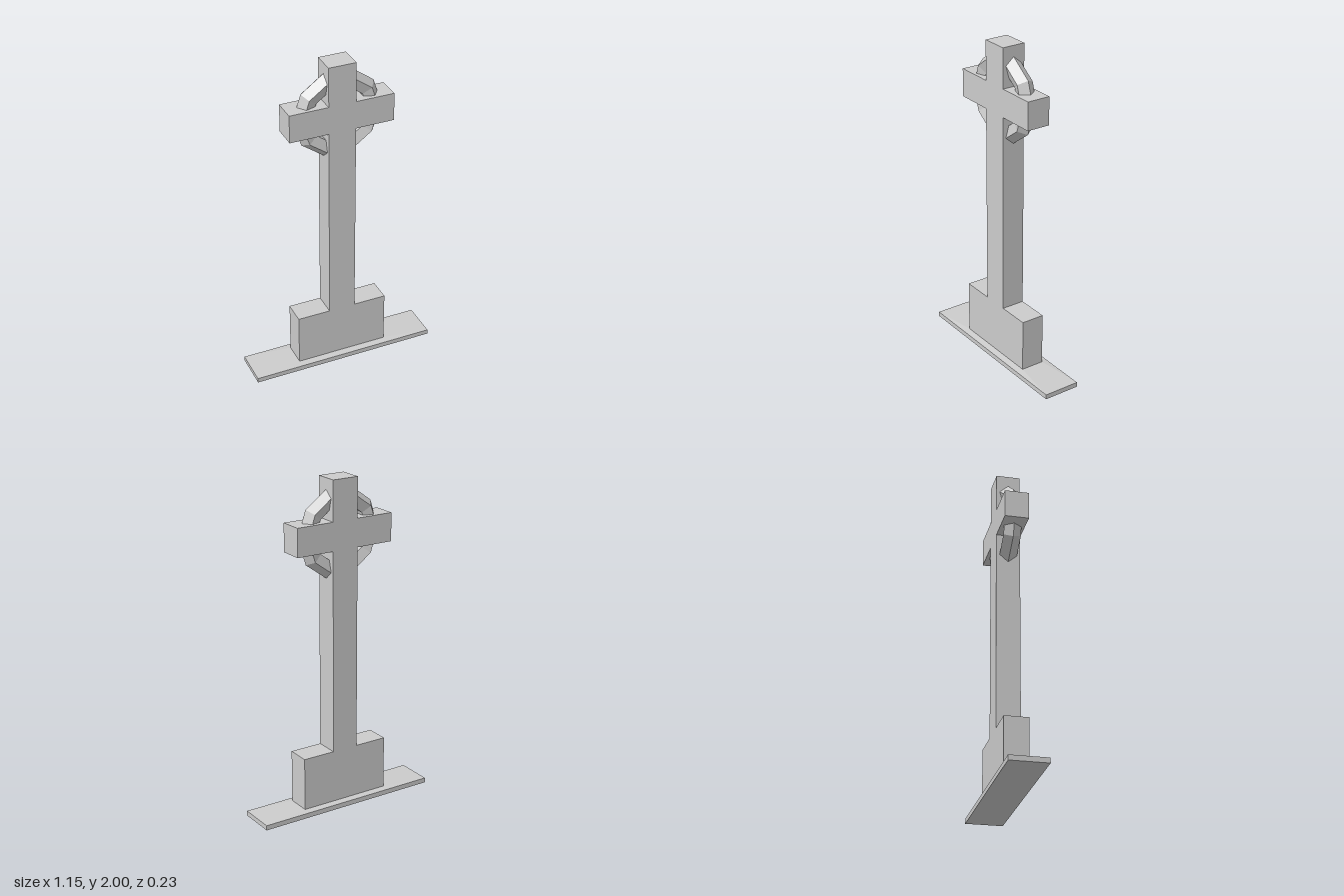
import * as THREE from 'three';

const material = new THREE.MeshStandardMaterial({ color: 0xcccccc, flatShading: true });

export function createModel() {
  const model = new THREE.Group();
  model.name = 'ringedCross';

  const add = (name, geometry, y = 0) => {
    const mesh = new THREE.Mesh(geometry, material);
    mesh.name = name;
    mesh.position.y = y;
    model.add(mesh);
    return mesh;
  };

  const depth = 0.144;
  const slabX = 1.15, slabZ = 0.226, slabTop = 0.03, crown = 0.036;
  const blockX = 0.57, blockTop = 0.36;

  // Flat slab on the ground
  add('groundSlab', new THREE.BoxGeometry(slabX, slabTop, slabZ), slabTop / 2);

  // Very shallow slope rising from the slab's edges to the pedestal
  const slope = new THREE.BoxGeometry(slabX, crown - slabTop, slabZ);
  const p = slope.attributes.position;
  for (let i = 0; i < p.count; i++) {
    if (p.getY(i) > 0) {
      p.setX(i, Math.sign(p.getX(i)) * blockX / 2);
      p.setZ(i, Math.sign(p.getZ(i)) * depth / 2);
    }
  }
  slope.computeVertexNormals();
  add('slabSlope', slope, (crown + slabTop) / 2);

  // Pedestal block
  add('pedestal', new THREE.BoxGeometry(blockX, blockTop - slabTop, depth), (blockTop + slabTop) / 2);

  // Shaft and arms as one silhouette, right half mirrored to the left
  const half = [[0.083, blockTop], [0.083, 1.59], [0.318, 1.59], [0.318, 1.76], [0.083, 1.76], [0.083, 2]];
  const outline = [...half, ...half.map(([x, y]) => [-x, y]).reverse()];
  const shape = new THREE.Shape(outline.map(([x, y]) => new THREE.Vector2(x, y)));
  const cross = new THREE.ExtrudeGeometry(shape, { depth, bevelEnabled: false });
  cross.translate(0, 0, -depth / 2);
  add('cross', cross);

  // Ten-sided ring with a five-sided section, ridge outward
  add('ring', new THREE.TorusGeometry(0.217, 0.055, 5, 10), 1.675);

  return model;
}
